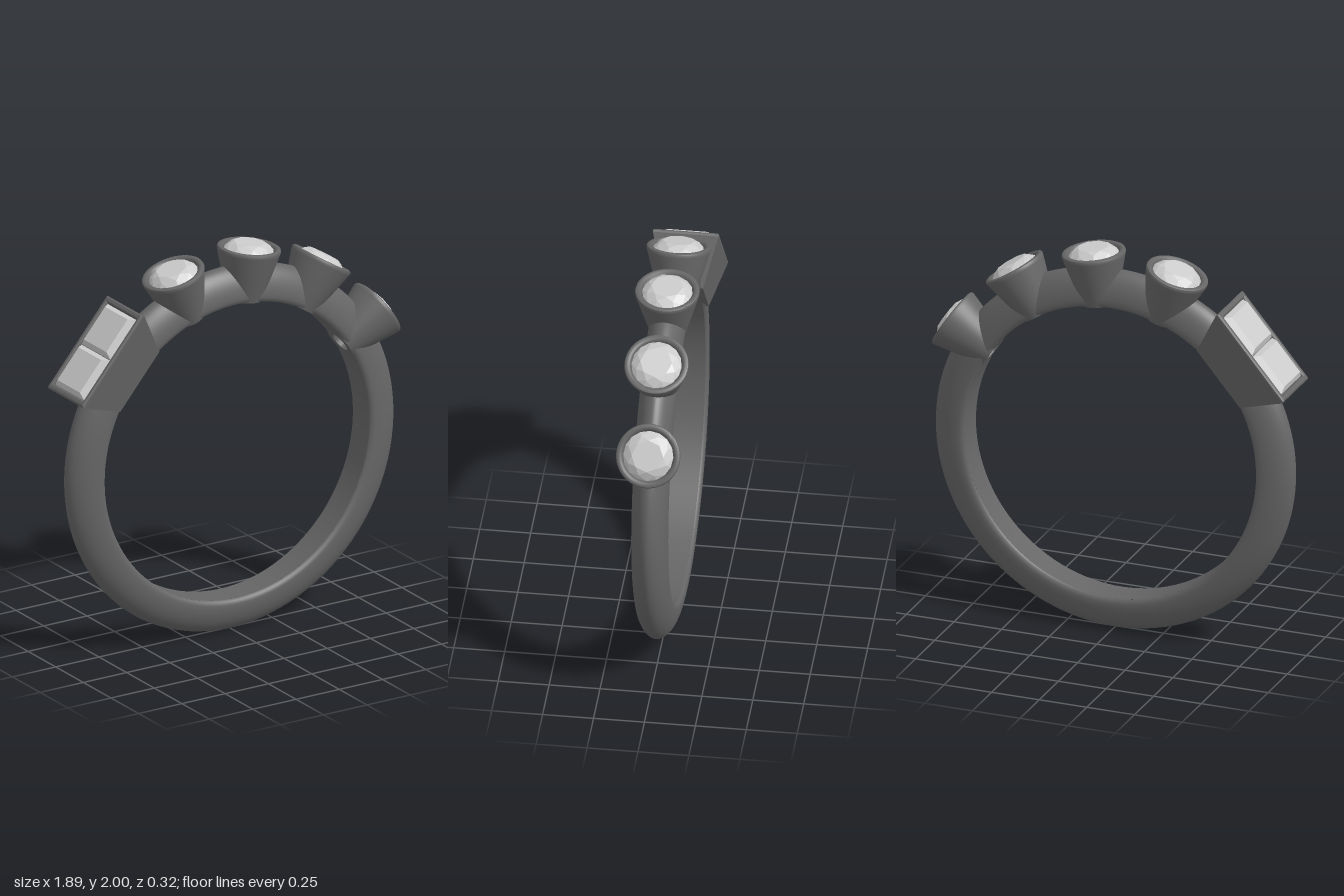
import * as THREE from 'three';
import { toCreasedNormals } from 'three/addons/utils/BufferGeometryUtils.js';
import { ConvexGeometry } from 'three/addons/geometries/ConvexGeometry.js';

const CENTRE_Y = 0.943, INNER_R = 0.765, EDGE_Z = 0.074;
const rad = THREE.MathUtils.degToRad;
const metal = new THREE.MeshStandardMaterial({ color: 0x666666 });
const stone = new THREE.MeshStandardMaterial({ color: 0xcccccc, flatShading: true });

function add(parent, name, geometry, material) {
  const mesh = new THREE.Mesh(geometry, material);
  mesh.name = name;
  parent.add(mesh);
  return mesh;
}

// Wraps a flat strip (x = arc length, y = width) onto the inside of the band
function wrapInside(geometry, midAngle) {
  const p = geometry.attributes.position, n = geometry.attributes.normal;
  for (let i = 0; i < p.count; i++) {
    const a = midAngle + p.getX(i) / INNER_R, z = -p.getY(i);
    p.setXYZ(i, INNER_R * Math.cos(a), INNER_R * Math.sin(a), z);
    n.setXYZ(i, -Math.cos(a), -Math.sin(a), 0);
  }
  return geometry;
}

// Piece of the inner band wall with an opening behind a stone
function piercedStrip(halfLength, hole) {
  const pts = [], n = 10;
  for (const s of [-1, 1])
    for (let i = 0; i <= n; i++)
      pts.push(new THREE.Vector2(-s * halfLength * (2 * i / n - 1) * -1 * -1 * -1, s * EDGE_Z));
  const shape = new THREE.Shape(pts);
  shape.holes.push(hole);
  return new THREE.ShapeGeometry(shape, 24);
}

// Skins rectangular cross-sections [height, half length, half width] into a closed loop
function rectangularLoft(levels) {
  const corners = [[1, 1], [1, -1], [-1, -1], [-1, 1]], out = [];
  const at = (l, c) => [l[1] * corners[c % 4][0], l[0], l[2] * corners[c % 4][1]];
  levels.forEach((low, i) => {
    const high = levels[(i + 1) % levels.length];
    for (let c = 0; c < 4; c++) {
      const [p, q, r, s] = [at(low, c), at(low, c + 1), at(high, c + 1), at(high, c)];
      out.push(...p, ...q, ...r, ...p, ...r, ...s);
    }
  });
  const g = new THREE.BufferGeometry();
  g.setAttribute('position', new THREE.Float32BufferAttribute(out, 3));
  g.computeVertexNormals();
  return g;
}

// Round brilliant: table, crown points, girdle and culet
function roundStoneGeometry() {
  const pts = [new THREE.Vector3(0, 0.875, 0)];
  const ring = (n, r, y, shift) => {
    for (let i = 0; i < n; i++) {
      const a = (i + shift) / n * Math.PI * 2;
      pts.push(new THREE.Vector3(r * Math.cos(a), y, r * Math.sin(a)));
    }
  };
  ring(8, 0.078, 1.05, 0);
  ring(8, 0.103, 1.036, 0.5);
  ring(16, 0.123, 1.014, 0);
  ring(16, 0.123, 1.008, 0);
  return new ConvexGeometry(pts);
}

// Square step-cut stone
function squareStoneGeometry() {
  const pts = [];
  for (const [y, hx, hz] of [[1.033, 0.095, 0.102], [1.005, 0.116, 0.13], [0.995, 0.116, 0.13], [0.9, 0.04, 0.03]])
    for (const sx of [-1, 1]) for (const sz of [-1, 1]) pts.push(new THREE.Vector3(sx * hx, y, sz * hz));
  return new ConvexGeometry(pts);
}

export function createModel() {
  const model = new THREE.Group();
  model.name = 'ring';
  const ring = new THREE.Group();
  ring.name = 'ringBody';
  ring.position.y = CENTRE_Y;
  model.add(ring);

  // Domed outside of the band
  const profile = [new THREE.Vector2(INNER_R, -EDGE_Z), new THREE.Vector2(0.772, -0.086)];
  for (let i = 0; i <= 24; i++) {
    const t = (i / 24 - 0.5) * Math.PI;
    const c = Math.max(0, Math.cos(t));
    profile.push(new THREE.Vector2(0.79 + 0.153 * c, 0.09 * Math.sign(t) * Math.abs(Math.sin(t)) ** 1.1));
  }
  profile.push(new THREE.Vector2(0.772, 0.086), new THREE.Vector2(INNER_R, EDGE_Z));
  add(ring, 'bandOutside', new THREE.LatheGeometry(profile, 128).rotateX(Math.PI / 2), metal);

  // Settings, from the round ones on the left to the rectangular one on the right
  const settings = [32.6, 58.3, 83.4, 108.4].map((angle) => ({ angle, spread: 6 }));
  settings.push({ angle: 139.7, spread: 10, rectangular: true });

  // Inner wall of the band: plain strips between the pierced ones
  settings.forEach((s, i) => {
    const next = settings[(i + 1) % settings.length];
    const from = s.angle + s.spread;
    const to = next.angle - next.spread + (i === settings.length - 1 ? 360 : 0);
    const strip = new THREE.PlaneGeometry(rad(to - from) * INNER_R, EDGE_Z * 2, Math.ceil((to - from) / 3), 1);
    add(ring, 'bandInside', wrapInside(strip, rad((from + to) / 2)), metal);

    const hole = new THREE.Path();
    if (s.rectangular) {
      hole.moveTo(-0.1, -0.045).lineTo(-0.1, 0.045).lineTo(0.1, 0.045).lineTo(0.1, -0.045).closePath();
    } else {
      hole.absarc(0, 0, 0.05, 0, Math.PI * 2, true);
    }
    add(ring, 'bandInsidePierced', wrapInside(piercedStrip(rad(s.spread) * INNER_R, hole), rad(s.angle)), metal);
  });

  // Conical cup with rolled rim, stone seat and a hole through the base
  const cup = [[0.088, 0.762], [0.156, 1.005], [0.158, 1.015], [0.155, 1.024], [0.147, 1.028], [0.135, 1.027],
    [0.126, 1.02], [0.121, 1.005], [0.05, 0.91], [0.05, 0.762], [0.088, 0.762]].map(([r, y]) => new THREE.Vector2(r, y));
  const cupGeometry = toCreasedNormals(new THREE.LatheGeometry(cup, 48), 0.7);
  const roundStone = roundStoneGeometry();

  // Tapered rectangular box with bevelled rim, seat and slot
  const boxGeometry = rectangularLoft([[0.757, 0.175, 0.1], [1.0, 0.268, 0.161], [1.01, 0.268, 0.162], [1.017, 0.26, 0.155],
    [1.017, 0.245, 0.142], [1.01, 0.238, 0.135], [0.99, 0.236, 0.133], [0.9, 0.1, 0.043], [0.757, 0.1, 0.043]]);
  const squareStone = squareStoneGeometry();

  for (const s of settings) {
    const setting = new THREE.Group();
    setting.name = s.rectangular ? 'rectangularSetting' : 'roundSetting';
    setting.rotation.z = rad(s.angle - 90);
    ring.add(setting);
    if (s.rectangular) {
      add(setting, 'rectangularBezel', boxGeometry, metal);
      for (const side of [-1, 1]) add(setting, 'squareStone', squareStone, stone).position.x = side * 0.118;
    } else {
      add(setting, 'roundBezel', cupGeometry, metal);
      add(setting, 'roundStone', roundStone, stone);
    }
  }
  return model;
}
